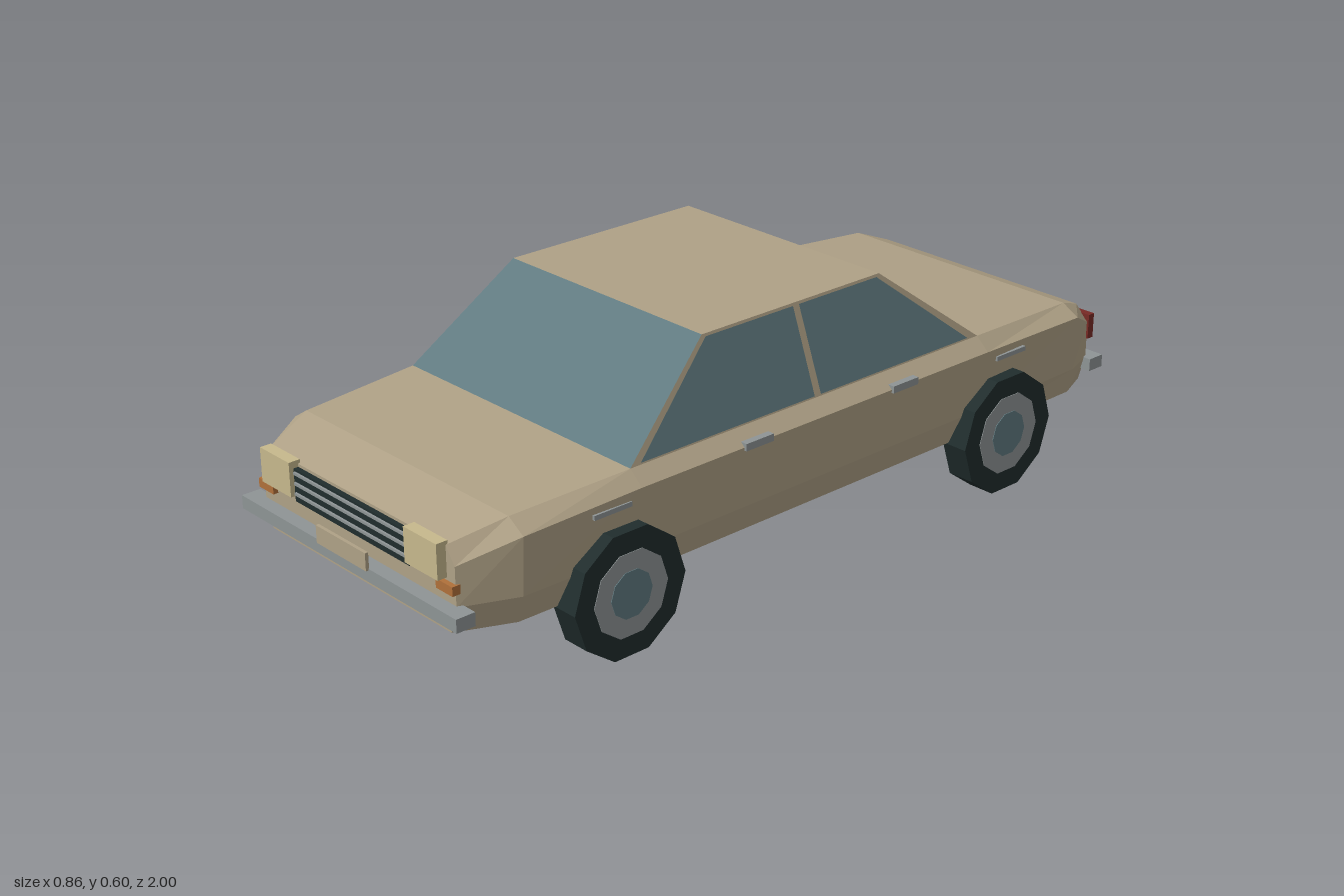
import * as THREE from 'three';

const mat = (name, color) => {
  const m = new THREE.MeshStandardMaterial({ color });
  m.name = name;
  return m;
};

export function createModel() {
  const car = new THREE.Group();
  car.name = 'car';
  const paint = mat('beige paint', 0xafa186);
  const glass = mat('blue grey glass', 0x607a80);
  const dark = mat('dark rubber', 0x202d2d);
  const chrome = mat('grey metal', 0x8e9495);
  const lamp = mat('headlight cream', 0xc6b88c);
  const amber = mat('amber lens', 0xb0703a);
  const red = mat('red lens', 0x782a25);

  const add = (name, geometry, material) => {
    const mesh = new THREE.Mesh(geometry, material);
    mesh.name = name;
    car.add(mesh);
    return mesh;
  };
  // Box given by its ranges on the three axes
  const box = (name, material, [x0, x1], [y0, y1], [z0, z1]) =>
    add(name, new THREE.BoxGeometry(x1 - x0, y1 - y0, z1 - z0), material)
      .position.set((x0 + x1) / 2, (y0 + y1) / 2, (z0 + z1) / 2);

  // Flat convex faces, each a counter-clockwise loop of points with a material index
  const faces = (list) => {
    const geo = new THREE.BufferGeometry();
    const pos = [];
    for (const [loop, index] of list) {
      geo.addGroup(pos.length / 3, (loop.length - 2) * 3, index);
      for (let i = 1; i < loop.length - 1; i++) pos.push(...loop[0], ...loop[i], ...loop[i + 1]);
    }
    geo.setAttribute('position', new THREE.Float32BufferAttribute(pos, 3));
    geo.computeVertexNormals();
    return geo;
  };

  // Lower body: cross-sections from nose to tail
  // z, half widths at sill, crease, shoulder and deck, shoulder height, deck height
  const sections = [
    [0.96, 0.315, 0.335, 0.335, 0.308, 0.3, 0.338],
    [0.835, 0.37, 0.388, 0.395, 0.35, 0.345, 0.374],
    [0.535, 0.375, 0.393, 0.405, 0.37, 0.357, 0.388],
    [-0.528, 0.375, 0.393, 0.405, 0.37, 0.357, 0.388],
    [-0.875, 0.37, 0.383, 0.388, 0.342, 0.345, 0.37],
    [-0.96, 0.335, 0.353, 0.353, 0.315, 0.3, 0.338],
  ];
  const rings = sections.map(([z, sill, crease, shoulder, deck, sy, dy]) => {
    const half = [[sill, 0.146, z], [crease, 0.21, z], [shoulder, sy, z], [deck, dy, z]];
    return [...half, ...half.map(([x, y]) => [-x, y, z]).reverse()];
  });
  const shell = [[rings[0], 0], [[...rings.at(-1)].reverse(), 0]];
  for (let r = 0; r < rings.length - 1; r++) {
    const a = rings[r], b = rings[r + 1];
    for (let i = 0; i < 8; i++) {
      const j = (i + 1) % 8;
      shell.push([[a[i], b[i], b[j], a[j]], i === 7 ? 1 : 0]); // last strip is the underside
    }
  }
  add('body', faces(shell), [paint, dark]);

  // Cabin with glazed front and back
  const Y0 = 0.388, Y1 = 0.597;
  const base = [[0.37, Y0, 0.535], [0.37, Y0, -0.528], [-0.37, Y0, -0.528], [-0.37, Y0, 0.535]];
  const roof = [[0.313, Y1, 0.285], [0.313, Y1, -0.25], [-0.313, Y1, -0.25], [-0.313, Y1, 0.285]];
  const walls = base.map((p, i) => {
    const j = (i + 1) % 4;
    return [[p, base[j], roof[j], roof[i]], i % 2];
  });
  add('cabin', faces([...walls, [roof, 0]]), [paint, glass]);

  // Side windows: z of bottom front, bottom back, top back, top front
  const windows = { frontWindow: [0.508, 0.005, 0.022, 0.278], rearWindow: [-0.014, -0.492, -0.238, 0.004] };
  for (const [name, zs] of Object.entries(windows)) {
    for (const s of [1, -1]) {
      const loop = zs.map((z, i) => {
        const y = i < 2 ? 0.393 : 0.592;
        const x = THREE.MathUtils.mapLinear(y, Y0, Y1, 0.37, 0.313) + 0.003;
        return [s * x, y, z];
      });
      add(name, faces([[s > 0 ? loop : loop.reverse(), 0]]), [glass]);
    }
  }

  // Wheels: ten-sided tyre, rim and hub cap
  const disc = (r, w) => new THREE.CylinderGeometry(r, r, w, 10).rotateY(Math.PI / 10).rotateZ(Math.PI / 2)
    .rotateX(Math.PI / 10).toNonIndexed();
  for (const s of [1, -1]) {
    for (const z of [0.587, -0.587]) {
      for (const [name, r, w, x, m] of [
        ['tyre', 0.15, 0.068, 0.394, dark],
        ['rim', 0.1, 0.01, 0.4245, chrome],
        ['hubCap', 0.056, 0.01, 0.426, glass],
      ]) {
        const g = disc(r, w);
        // Turn the polygon so that a flat side rests on the ground
        g.computeBoundingBox();
        if (g.boundingBox.max.y > r * 0.98) g.rotateX(Math.PI / 10);
        g.computeVertexNormals();
        add(name, g, m).position.set(s * x, 0.1427, z);
      }
    }
  }

  // Bumpers and number plates
  for (const s of [1, -1]) {
    const range = (a, b) => (s > 0 ? [a, b] : [-b, -a]);
    box('bumper', chrome, [-0.378, 0.378], [0.182, 0.213], range(0.947, 0.994));
    box('plate', paint, [-0.087, 0.087], [0.209, 0.25], range(0.992, 1));
  }

  // Grille with three bars
  box('grille', dark, [-0.2, 0.2], [0.255, 0.331], [0.95, 0.972]);
  for (const y of [0.275, 0.299, 0.323]) {
    box('grilleBar', chrome, [-0.195, 0.195], [y - 0.003, y + 0.003], [0.97, 0.977]);
  }

  // Lamps, handles and side trim on both sides
  for (const s of [1, -1]) {
    const range = (a, b) => (s > 0 ? [a, b] : [-b, -a]);
    box('headlight', lamp, range(0.2, 0.308), [0.267, 0.347], [0.955, 0.983]);
    box('indicator', amber, range(0.286, 0.34), [0.24, 0.261], [0.952, 0.972]);
    box('tailLight', red, range(0.27, 0.36), [0.26, 0.322], [-0.974, -0.955]);
    for (const z of [0.207, -0.245]) {
      box('doorHandle', chrome, range(0.392, 0.411), [0.35, 0.367], [z - 0.04, z + 0.04]);
    }
    for (const z of [0.612, -0.612]) {
      box('sideTrim', chrome, range(0.396, 0.406), [0.325, 0.336], [z - 0.05, z + 0.05]);
    }
  }
  return car;
}
